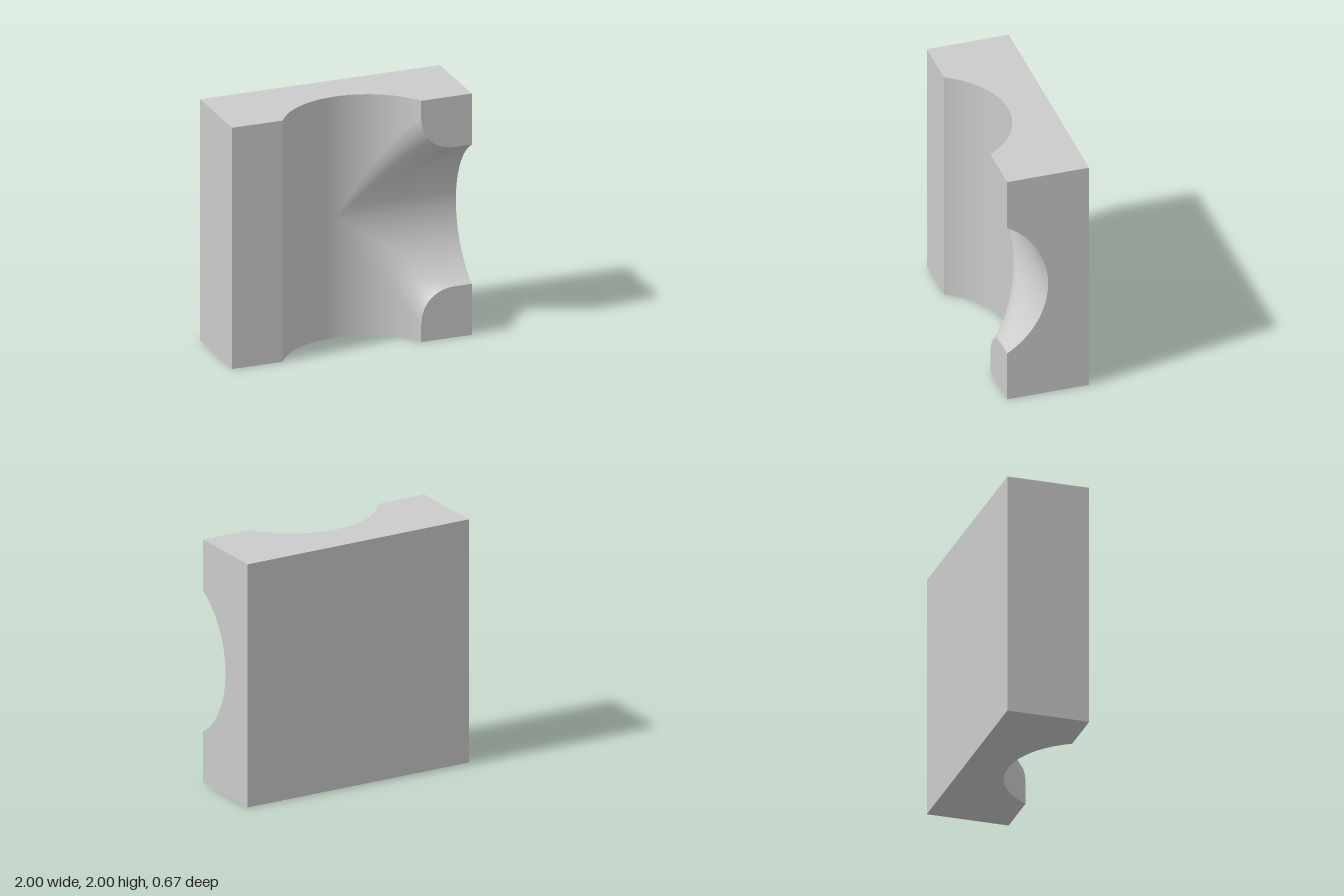
import * as THREE from 'three';

const R = 2 / 3;            // channel radius
const F = 1 / 3;            // front face at z = F, back at z = -F
const W = Math.sqrt(R * R - F * F); // channel half-width at the front face
const BALL = 1 / 3;         // rolling-ball radius of the rounded corners
const Q = R + BALL;
const material = new THREE.MeshStandardMaterial({ color: 0xcccccc });
const V = (x, y, z) => new THREE.Vector3(x, y, z);

// Collects triangles of {p, n} corners, turned to agree with their normals
function makeMesh(name, tris) {
  const pos = [], nor = [];
  for (const [a, b, c] of tris) {
    const face = b.p.clone().sub(a.p).cross(c.p.clone().sub(a.p));
    const sum = a.n.clone().add(b.n).add(c.n);
    for (const k of face.dot(sum) < 0 ? [a, c, b] : [a, b, c]) {
      pos.push(k.p.x, k.p.y + 1, k.p.z);
      nor.push(k.n.x, k.n.y, k.n.z);
    }
  }
  const g = new THREE.BufferGeometry();
  g.setAttribute('position', new THREE.Float32BufferAttribute(pos, 3));
  g.setAttribute('normal', new THREE.Float32BufferAttribute(nor, 3));
  const mesh = new THREE.Mesh(g, material);
  mesh.name = name;
  return mesh;
}

// Curved patch: fn(u, v) returns {p, n}
function patch(fn, nu, nv) {
  const tris = [];
  for (let i = 0; i < nu; i++) for (let j = 0; j < nv; j++) {
    const a = fn(i / nu, j / nv), b = fn((i + 1) / nu, j / nv);
    const c = fn((i + 1) / nu, (j + 1) / nv), d = fn(i / nu, (j + 1) / nv);
    tris.push([a, b, c], [a, c, d]);
  }
  return tris;
}

// Flat face from a 2D outline, placed by a mapping function
function flat(outline, place, n) {
  return THREE.ShapeUtils.triangulateShape(outline, [])
    .map((t) => t.map((i) => ({ p: place(outline[i].x, outline[i].y), n })));
}

const changed = (tris, fn) => tris.map((t) => t.map(({ p, n }) => ({ p: fn(p), n: fn(n) })));
const flipX = (v) => V(-v.x, v.y, v.z);
const flipY = (v) => V(v.x, -v.y, v.z);
const swap = (v) => V(v.y, v.x, v.z);
const bothWays = (tris) => [...tris, ...changed(tris, flipY)];

// Quarter of a channel, from y = slope * x up to the end
function channel(slope) {
  return patch((u, v) => {
    const a = u * Math.asin(W / R), x = R * Math.sin(a), low = slope * x;
    return { p: V(x, low + (1 - low) * v, R - R * Math.cos(a)), n: V(-Math.sin(a), 0, Math.cos(a)) };
  }, 40, 4);
}

// Point on the rounded corner: ball centre at (s, s), v runs round the arc
function cornerPoint(s, v) {
  const k = Math.sqrt(1 - (s / Q) ** 2);
  const n1 = V(-s / Q, 0, k), n2 = V(0, -s / Q, k), ang = n1.angleTo(n2);
  const n = ang < 1e-5 ? n1 : n1.multiplyScalar(Math.sin((1 - v) * ang))
    .addScaledVector(n2, Math.sin(v * ang)).normalize();
  return { p: V(s, s, R - Q * k).addScaledVector(n, BALL), n };
}

// Where the arc position v reaches the front face
function reach(v) {
  let lo = 0, hi = 0.95;
  for (let i = 0; i < 40; i++) {
    const mid = (lo + hi) / 2;
    if (cornerPoint(mid, v).p.z < F) lo = mid; else hi = mid;
  }
  return lo;
}

export function createModel() {
  const group = new THREE.Group();
  group.name = 'channelBlock';
  const add = (name, tris) => group.add(makeMesh(name, tris));
  const P = (x, y) => new THREE.Vector2(x, y);
  const front = V(0, 0, 1);

  // Curved channels and the rounded corners where they meet
  add('mainChannel', bothWays([...channel(Q / R), ...changed(channel(0), flipX)]));
  add('sideChannel', bothWays(changed(channel(Q / R), swap)));
  add('roundedCorners', bothWays(patch((u, v) => cornerPoint(u * reach(v), v), 36, 20)));

  // Front faces: a plain strip and two corner lands
  const rect = (a, b, h) => [P(a, -h), P(b, -h), P(b, h), P(a, h)];
  const onFront = (x, y) => V(x, y, F);
  add('frontStrip', flat(rect(-1, -W, 1), onFront, front));
  const land = [P(1, 1), P(W, 1)];
  for (let i = 0; i <= 20; i++) {
    const { p } = cornerPoint(reach(i / 20), i / 20);
    land.push(P(p.x, p.y));
  }
  land.push(P(1, W));
  add('frontCornerLands', bothWays(flat(land, onFront, front)));

  // End faces with the channel cut out
  const notched = [P(-1, F), P(-1, -F), P(1, -F), P(1, F)];
  for (let i = 40; i >= -40; i--) {
    const a = (i / 40) * Math.asin(W / R);
    notched.push(P(R * Math.sin(a), R - R * Math.cos(a)));
  }
  add('topAndBottom', bothWays(flat(notched, (x, z) => V(x, 1, z), V(0, 1, 0))));
  add('leftSide', flat(notched, (y, z) => V(1, y, z), V(1, 0, 0)));

  // Plain side and back
  add('rightSide', flat(rect(-F, F, 1), (z, y) => V(-1, y, z), V(-1, 0, 0)));
  add('back', flat(rect(-1, 1, 1), (x, y) => V(x, y, -F), V(0, 0, -1)));
  return group;
}
